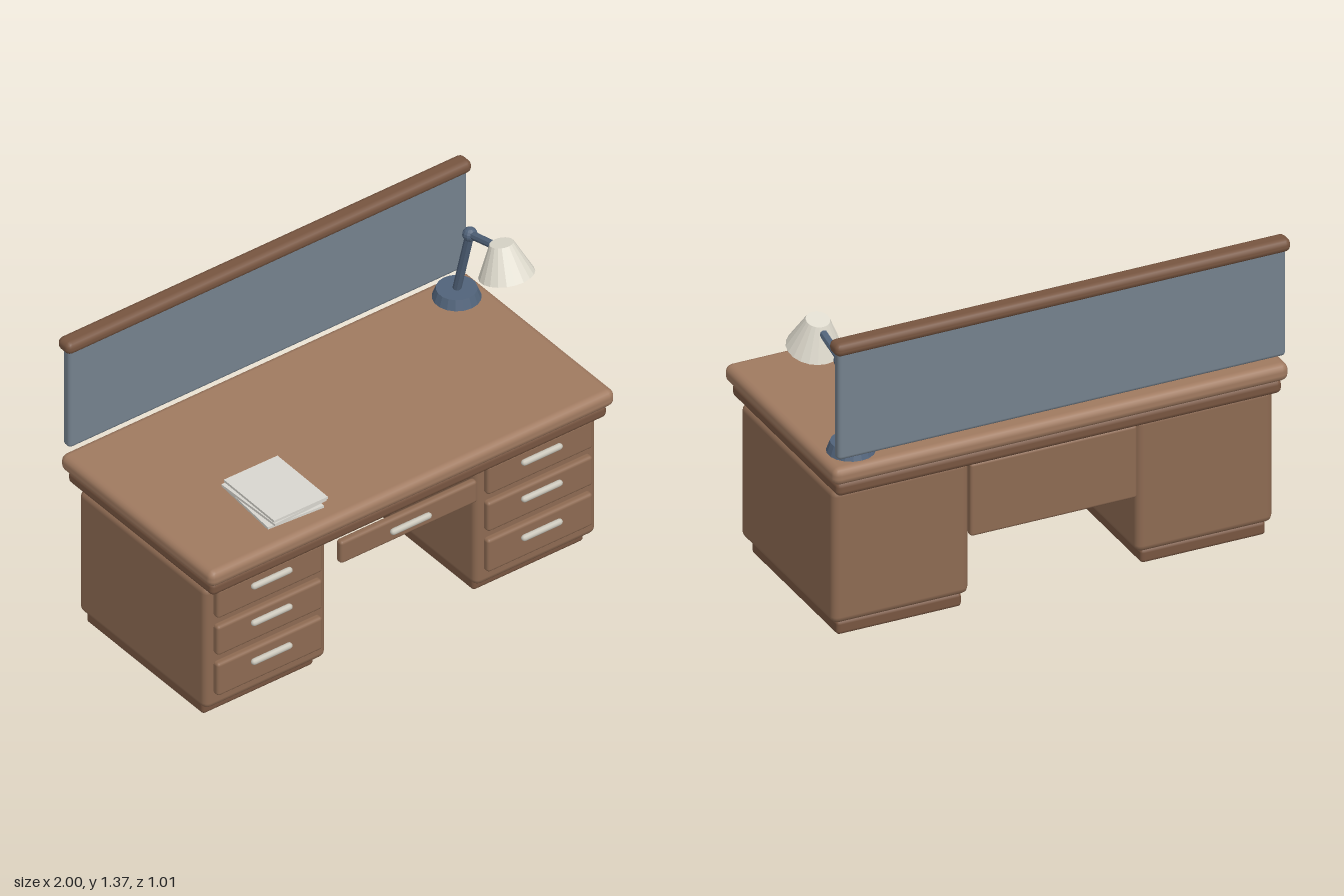
import * as THREE from 'three';
import { RoundedBoxGeometry } from 'three/addons/geometries/RoundedBoxGeometry.js';

const mat = (color, flatShading = false) => new THREE.MeshStandardMaterial({ color, flatShading });

export function createModel() {
  const model = new THREE.Group();
  model.name = 'desk';
  const topWood = mat(0xa07a60), wood = mat(0x8d6a52), darkWood = mat(0x775540);
  const metal = mat(0xc9c5b9), glass = mat(0x74818d), paper = mat(0xd8d6cf);
  const lampBlue = mat(0x51637a, true), shadeWhite = mat(0xe0dccf, true);

  function add(parent, name, geometry, material) {
    const mesh = new THREE.Mesh(geometry, material);
    mesh.name = name;
    parent.add(mesh);
    return mesh;
  }
  // Rounded block given by its extents [min, max] on each axis
  function block(parent, name, [x0, x1], [y0, y1], [z0, z1], radius, material) {
    const geo = new RoundedBoxGeometry(x1 - x0, y1 - y0, z1 - z0, 2, radius);
    const mesh = add(parent, name, geo, material);
    mesh.position.set((x0 + x1) / 2, (y0 + y1) / 2, (z0 + z1) / 2);
    return mesh;
  }
  // Horizontal bar handle
  function handle(parent, x, y, z) {
    const bar = add(parent, 'handle', new THREE.CapsuleGeometry(0.014, 0.172, 3, 10), metal);
    bar.rotation.z = Math.PI / 2;
    bar.position.set(x, y, z);
  }
  // Round bar between two points
  function rod(parent, name, from, to, radius) {
    const dir = to.clone().sub(from);
    const bar = add(parent, name, new THREE.CylinderGeometry(radius, radius, dir.length(), 8), lampBlue);
    bar.position.copy(from).add(to).multiplyScalar(0.5);
    bar.quaternion.setFromUnitVectors(new THREE.Vector3(0, 1, 0), dir.normalize());
  }

  // Worktop and the moulding beneath it
  block(model, 'worktop', [-1, 1], [0.722, 0.8], [-0.488, 0.508], 0.032, topWood);
  block(model, 'worktopTrim', [-0.977, 0.977], [0.662, 0.724], [-0.466, 0.483], 0.022, darkWood);

  // Two drawer pedestals
  for (const side of [-1, 1]) {
    const pedestal = new THREE.Group();
    pedestal.name = side < 0 ? 'rightPedestal' : 'leftPedestal';
    pedestal.position.x = side * 0.667;
    model.add(pedestal);
    block(pedestal, 'cabinet', [-0.3, 0.3], [0.058, 0.657], [-0.407, 0.425], 0.03, wood);
    block(pedestal, 'plinth', [-0.274, 0.274], [0, 0.06], [-0.39, 0.375], 0.015, darkWood);
    for (const [y0, y1, handleY] of [[0.513, 0.655, 0.605], [0.33, 0.474, 0.424], [0.13, 0.29, 0.232]]) {
      block(pedestal, 'drawerFront', [-0.26, 0.26], [y0, y1], [0.415, 0.454], 0.014, wood);
      handle(pedestal, 0, handleY, 0.461);
    }
  }

  // Kneehole: centre drawer front and rear modesty panel
  block(model, 'centreDrawerFront', [-0.338, 0.338], [0.53, 0.638], [0.443, 0.479], 0.014, wood);
  handle(model, 0, 0.585, 0.488);
  block(model, 'modestyPanel', [-0.366, 0.366], [0.315, 0.64], [-0.413, -0.375], 0.012, wood);

  // Screen panel with its wooden top rail
  block(model, 'screen', [-0.983, 0.983], [0.84, 1.33], [-0.487, -0.441], 0.016, glass);
  block(model, 'screenRail', [-1, 1], [1.309, 1.367], [-0.506, -0.425], 0.026, darkWood);

  // Desk lamp, modelled around its own x = 0
  const lamp = new THREE.Group();
  lamp.name = 'lamp';
  lamp.position.x = 0.865;
  model.add(lamp);
  const base = add(lamp, 'lampBase', new THREE.CylinderGeometry(0.083, 0.1, 0.046, 18), lampBlue);
  base.position.set(0, 0.82, -0.357);
  const elbow = new THREE.Vector3(0, 1.16, -0.271);
  rod(lamp, 'lowerArm', new THREE.Vector3(0, 0.835, -0.357), elbow, 0.018);
  rod(lamp, 'upperArm', elbow, new THREE.Vector3(0, 1.206, -0.09), 0.017);
  const joint = add(lamp, 'elbowJoint', new THREE.SphereGeometry(0.031, 12, 8), lampBlue);
  joint.position.copy(elbow);
  const shade = add(lamp, 'lampShade', new THREE.CylinderGeometry(0.049, 0.114, 0.14, 20), shadeWhite);
  shade.position.set(0, 1.174, -0.047);
  shade.rotation.x = -0.24;

  // Loose stack of paper
  const stack = new THREE.Group();
  stack.name = 'paperStack';
  stack.position.set(-0.495, 0, 0.253);
  model.add(stack);
  [[-0.01, 0.812, 0.002, -0.075], [-0.003, 0.825, 0, 0.035], [0.006, 0.837, 0, -0.01]].forEach(([x, y, z, turn]) => {
    const sheet = add(stack, 'paperSheets', new THREE.BoxGeometry(0.263, 0.011, 0.333), paper);
    sheet.position.set(x, y, z);
    sheet.rotation.y = turn;
  });

  return model;
}
